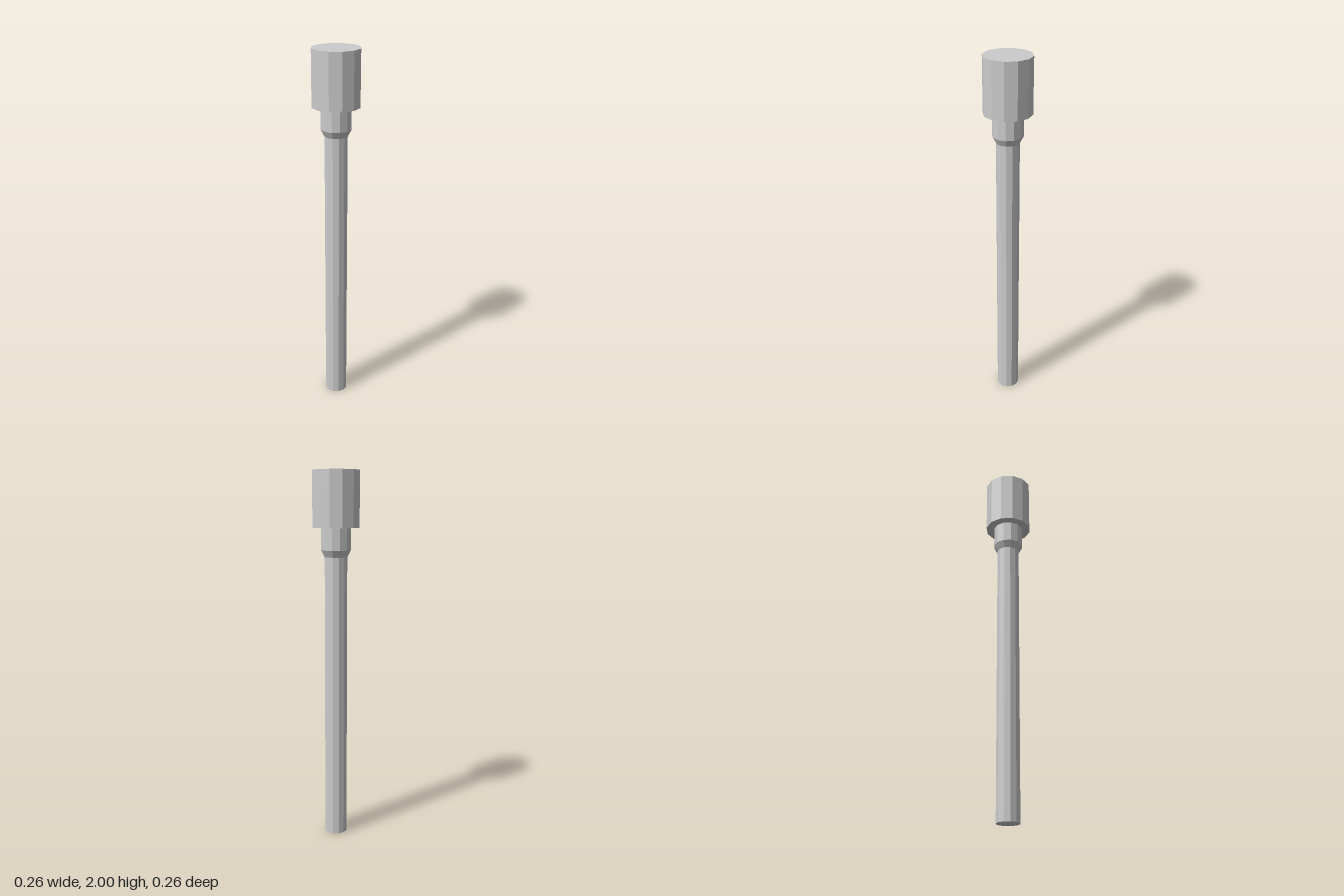
import * as THREE from 'three';

const SIDES = 12;

export function createModel() {
  const model = new THREE.Group();
  const material = new THREE.MeshStandardMaterial({ color: 0xcccccc, flatShading: true });

  // Faceted section between two heights, with its own radius at each end
  function addSection(name, bottomY, topY, bottomRadius, topRadius, open = false) {
    const height = topY - bottomY;
    const geometry = new THREE.CylinderGeometry(topRadius, bottomRadius, height, SIDES, 1, open);
    const mesh = new THREE.Mesh(geometry, material);
    mesh.name = name;
    mesh.position.y = bottomY + height / 2;
    model.add(mesh);
  }

  // Long shaft, flared shoulder, collar and wide head
  addSection('shaft', 0, 1.55, 0.062, 0.062);
  addSection('shoulder', 1.55, 1.587, 0.062, 0.082, true);
  addSection('collar', 1.587, 1.704, 0.082, 0.082, true);
  addSection('head', 1.704, 2, 0.128, 0.128);

  return model;
}
